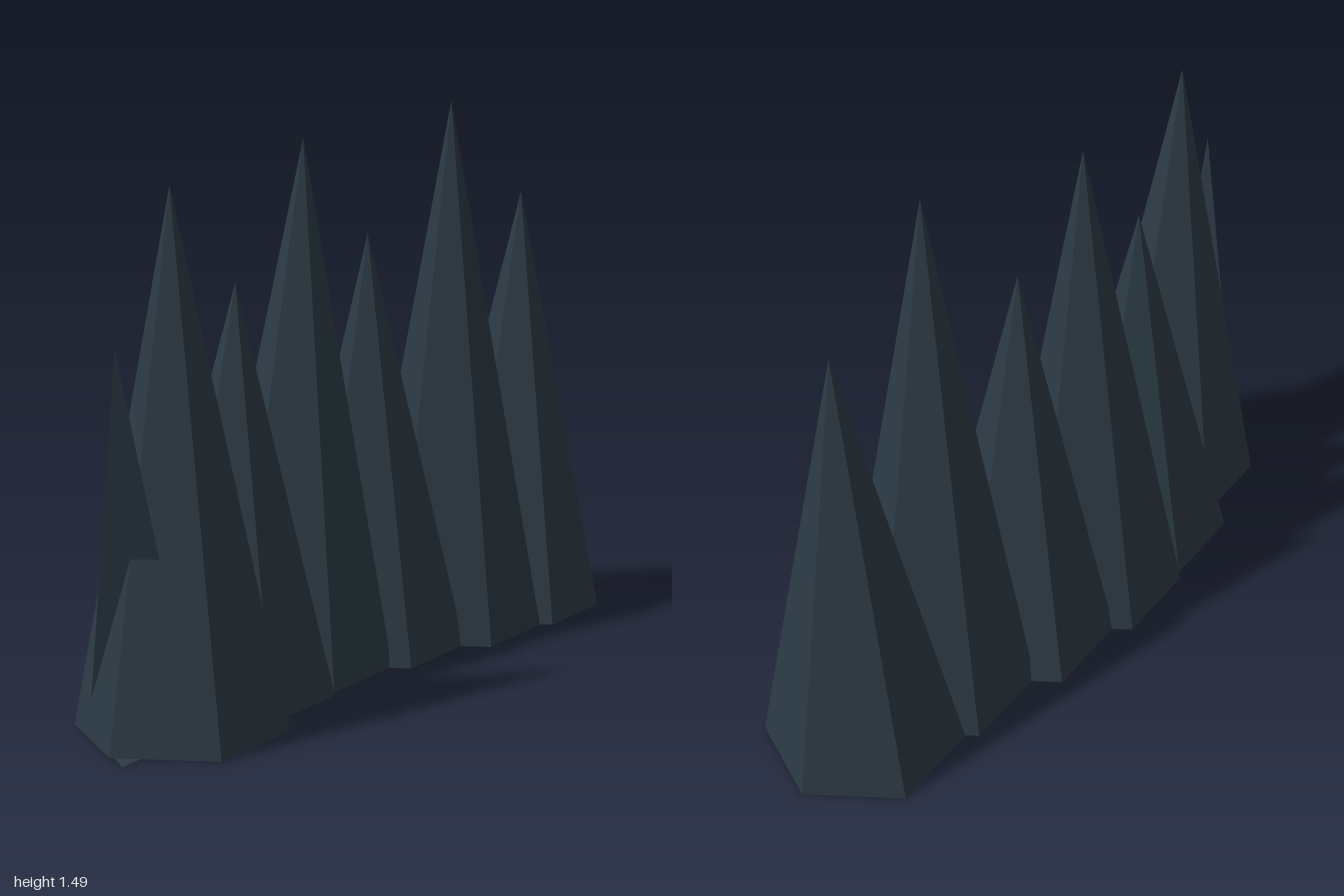
import * as THREE from 'three';

const RADIUS = 0.267;

// base centre x, z; tip x, y, z
const SPIKES = [
  [-0.705, 0.005, -0.74, 1.335, 0.02],
  [-0.418, -0.063, -0.40, 1.065, -0.055],
  [-0.133, -0.078, -0.10, 1.41, -0.063],
  [0.152, -0.028, 0.13, 1.145, -0.018],
  [0.443, 0.045, 0.42, 1.49, 0.06],
  [0.73, 0.075, 0.76, 1.22, 0.085],
];

// Six-sided cone with its tip shifted off the base centre
function spikeGeometry([bx, bz, tx, h, tz]) {
  const g = new THREE.ConeGeometry(RADIUS, h, 6, 1, false, Math.PI / 6);
  g.translate(0, h / 2, 0);
  const p = g.attributes.position;
  for (let i = 0; i < p.count; i++) {
    const t = p.getY(i) / h;
    p.setX(i, p.getX(i) + bx + (tx - bx) * t);
    p.setZ(i, p.getZ(i) + bz + (tz - bz) * t);
  }
  g.computeVertexNormals();
  return g;
}

// Single side face and base wedge of a broken spike at the end of the row
function shardGeometry() {
  const tip = [-1, 0.985, 0.07];
  const centre = [-1, 0, 0.07];
  const back = [-0.86, 0, -0.16];
  const side = [-0.727, 0, 0.07];
  const g = new THREE.BufferGeometry();
  g.setAttribute('position', new THREE.Float32BufferAttribute(
    [tip, side, back, centre, back, side].flat(), 3));
  g.computeVertexNormals();
  return g;
}

export function createModel() {
  const model = new THREE.Group();
  model.name = 'spikeRow';

  const slate = new THREE.MeshStandardMaterial({ color: 0x2c3a44 });
  slate.name = 'darkSlate';
  slate.flatShading = true;
  slate.side = THREE.DoubleSide;

  SPIKES.forEach((s, i) => {
    const mesh = new THREE.Mesh(spikeGeometry(s), slate);
    mesh.name = `spike${i + 1}`;
    model.add(mesh);
  });

  const shard = new THREE.Mesh(shardGeometry(), slate);
  shard.name = 'brokenSpike';
  model.add(shard);

  return model;
}
